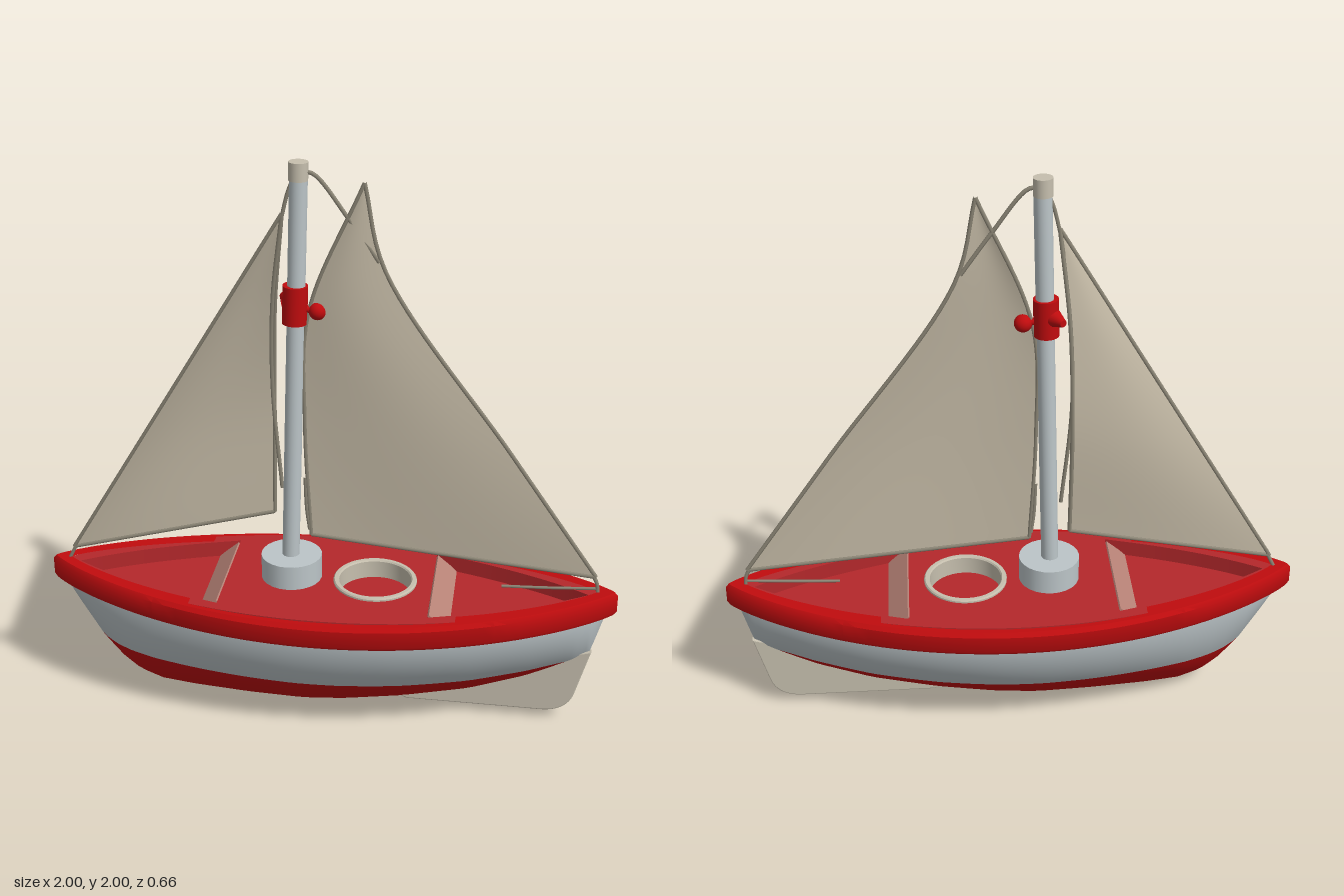
import * as THREE from 'three';
import { toCreasedNormals } from 'three/addons/utils/BufferGeometryUtils.js';
import { ParametricGeometry } from 'three/addons/geometries/ParametricGeometry.js';

const mat = (name, color, side = THREE.FrontSide) => {
  const m = new THREE.MeshStandardMaterial({ color, side });
  m.name = name;
  return m;
};
const V = (x, y, z = 0) => new THREE.Vector3(x, y, z);

// linear lookup in a short list of [x, y] points
function lookup(pts, x) {
  for (let i = 1; i < pts.length; i++) {
    if (x <= pts[i][0]) {
      const [x0, y0] = pts[i - 1], [x1, y1] = pts[i];
      return y0 + (y1 - y0) * (x - x0) / (x1 - x0);
    }
  }
  return pts[pts.length - 1][1];
}

// boat plan outline, inset by k
function outline(a, k) {
  const s = Math.sin(a);
  return [(1 - k) * Math.cos(a), (0.33 - k) * Math.sign(s) * Math.pow(Math.abs(s), 1.7)];
}
function outlineShape(k) {
  const pts = [];
  for (let i = 0; i < 96; i++) pts.push(new THREE.Vector2(...outline(i / 96 * Math.PI * 2, k)));
  return new THREE.Shape(pts);
}
const flat = (shape, y, depth) =>
  new THREE.ExtrudeGeometry(shape, { depth, bevelEnabled: false, curveSegments: 32 })
    .rotateX(-Math.PI / 2).translate(0, y, 0);

const KEEL = [[-0.965, 0.45], [-0.9, 0.33], [-0.83, 0.21], [-0.76, 0.125], [-0.7, 0.075], [-0.62, 0.042],
  [-0.5, 0.026], [-0.3, 0.01], [-0.1, 0.002], [0.05, 0.012], [0.27, 0.045], [0.5, 0.095], [0.7, 0.165],
  [0.87, 0.245], [0.92, 0.29], [0.965, 0.45]];
const WATERLINE = [[-1, 0.215], [-0.4, 0.205], [0, 0.2], [0.25, 0.2], [0.5, 0.21], [0.7, 0.225], [1, 0.265]];
const HULL_TOP = 0.455;

// one side of the hull (s = 1 or -1), below or above the waterline
function hullSide(s, below) {
  const geo = new ParametricGeometry((u, v, p) => {
    const a = Math.PI * (1 - u);
    const x = s * 0.963 * Math.cos(a);
    const yb = lookup(KEEL, x);
    const yw = Math.max(lookup(WATERLINE, x), yb);
    const y = below ? yb + (yw - yb) * v : yw + (HULL_TOP - yw) * v;
    const t = (y - yb) / (HULL_TOP - yb);
    const w = 0.002 + 0.308 * Math.pow(Math.max(0, 1 - (x / 0.965) ** 2), 0.85);
    p.set(x, y, s * w * (1 - (1 - t) ** 2));
  }, 72, 12);
  geo.computeVertexNormals();
  return geo;
}

export function createModel() {
  const model = new THREE.Group();
  model.name = 'sailboat';
  const red = mat('red paint', 0xc00c0e);
  const deckRed = mat('deck red', 0xb4282b);
  const grey = mat('pale grey paint', 0xbcc5c8);
  const cloth = mat('sail cloth', 0xc2b8a4, THREE.DoubleSide);
  const trim = mat('rope and hem', 0x8c8676);
  const cream = mat('cream', 0xc6bfae);
  const worn = mat('worn paint', 0xb98478);

  const add = (name, geo, material, parent = model) => {
    const m = new THREE.Mesh(geo, material);
    m.name = name;
    parent.add(m);
    return m;
  };
  const rod = (name, a, b, r, material, r2 = r) => {
    const d = b.clone().sub(a);
    const m = add(name, new THREE.CylinderGeometry(r2, r, d.length(), 24), material);
    m.position.copy(a).addScaledVector(d, 0.5);
    m.quaternion.setFromUnitVectors(V(0, 1, 0), d.normalize());
    return m;
  };
  const rope = (name, pts, r = 0.007) =>
    add(name, new THREE.TubeGeometry(new THREE.CatmullRomCurve3(pts), 24, r, 6), trim);

  // hull, painted in two bands
  for (const s of [1, -1]) {
    add('lowerHull', hullSide(s, true), red);
    add('upperHull', hullSide(s, false), grey);
  }

  // gunwale band with a slight sheer
  const profile = [[0.06, 0.42], [0.008, 0.42], [0, 0.432], [0, 0.492], [0.012, 0.507], [0.07, 0.507]];
  const gunwale = new ParametricGeometry((u, v, p) => {
    const [k, y] = profile[Math.round(v * 5)] || profile[5];
    const [x, z] = outline(-u * Math.PI * 2, k);
    p.set(x, y + 0.024 * x * x, z);
  }, 120, 5);
  add('gunwale', toCreasedNormals(gunwale, 0.6), red);

  // deck with two end wells and a round cockpit
  const deck = outlineShape(0.03);
  for (const s of [1, -1]) {
    const well = new THREE.Path();
    well.moveTo(s * 0.36, -0.225);
    well.quadraticCurveTo(s * 0.7, -0.13, s * 0.9, 0);
    well.quadraticCurveTo(s * 0.7, 0.13, s * 0.36, 0.225);
    well.closePath();
    deck.holes.push(well);
    const step = add('wellStep', new THREE.BoxGeometry(0.09, 0.008, 0.42), worn);
    step.position.set(s * 0.397, 0.481, 0);
    step.rotation.z = -s * 0.7;
  }
  const cockpit = new THREE.Path();
  cockpit.absarc(0.16, 0, 0.135, 0, Math.PI * 2, true);
  deck.holes.push(cockpit);
  add('deck', flat(deck, 0.452, 0.06), deckRed);
  add('wellFloor', flat(outlineShape(0.045), 0.435, 0.02), deckRed);

  // cockpit ring
  const ringProfile = [[0.126, 0.45], [0.146, 0.45], [0.146, 0.518], [0.142, 0.523], [0.13, 0.523], [0.126, 0.518], [0.126, 0.45]]
    .map(([x, y]) => new THREE.Vector2(x, y));
  const ring = add('cockpitRing', toCreasedNormals(new THREE.LatheGeometry(ringProfile, 48), 0.5), cream);
  ring.position.x = 0.16;

  // stern fin
  const fin = new THREE.Shape();
  fin.moveTo(0.24, 0.06);
  fin.lineTo(0.28, 0.04);
  fin.lineTo(0.77, 0.035);
  fin.quadraticCurveTo(0.855, 0.04, 0.875, 0.11);
  fin.lineTo(0.925, 0.29);
  fin.lineTo(0.84, 0.27);
  fin.lineTo(0.55, 0.15);
  fin.closePath();
  add('fin', new THREE.ExtrudeGeometry(fin, { depth: 0.014, bevelSize: 0.005, bevelThickness: 0.005, bevelOffset: -0.005, bevelSegments: 2 })
    .translate(0, 0, -0.007), cream);

  // mast, foot and fittings
  rod('mastFoot', V(-0.135, 0.5), V(-0.135, 0.6), 0.106, grey);
  rod('mast', V(-0.138, 0.58), V(-0.1, 1.945), 0.03, grey);
  rod('mastCap', V(-0.101, 1.94), V(-0.1, 2), 0.032, cream);
  rod('collar', V(-0.117, 1.46), V(-0.113, 1.59), 0.042, red);
  rod('collarSpur', V(-0.13, 1.53, -0.01), V(-0.165, 1.53, -0.065), 0.035, red, 0.012);
  rod('knobStem', V(-0.1, 1.515), V(-0.04, 1.505), 0.012, red);
  const knob = add('knob', new THREE.SphereGeometry(0.03, 20, 14), red);
  knob.position.set(-0.04, 1.505, 0);

  // sails stretched between two edge curves that meet at the peak
  const sail = (name, leftPts, rightPts, bulge) => {
    const group = new THREE.Group();
    group.name = name;
    model.add(group);
    const L = new THREE.CatmullRomCurve3(leftPts), R = new THREE.CatmullRomCurve3(rightPts);
    const geo = new ParametricGeometry((u, v, p) => {
      p.copy(L.getPoint(v)).lerp(R.getPoint(v), u);
      p.z += bulge * Math.sin(Math.PI * u) * Math.sin(Math.PI * v);
    }, 20, 32);
    geo.computeVertexNormals();
    add('cloth', geo, cloth, group);
    const foot = new THREE.LineCurve3(leftPts[0], rightPts[0]);
    for (const edge of [L, R, foot]) add('hem', new THREE.TubeGeometry(edge, 32, 0.007, 6), trim, group);
  };
  sail('foreSail',
    [V(-0.92, 0.57), V(-0.665, 0.99), V(-0.41, 1.41), V(-0.155, 1.83)],
    [V(-0.2, 0.735, -0.05), V(-0.2, 1.15, -0.075), V(-0.19, 1.5, -0.05), V(-0.155, 1.83)], -0.015);
  sail('mainSail',
    [V(-0.065, 0.68), V(-0.085, 1.1), V(-0.07, 1.5), V(0.11, 1.94)],
    [V(0.92, 0.585), V(0.61, 1.03), V(0.18, 1.65), V(0.11, 1.94)], 0.02);

  // rigging
  rope('foreLuffRope', [V(-0.155, 1.83), V(-0.195, 1.52, -0.03), V(-0.2, 1.2, -0.04), V(-0.17, 0.84, -0.03)]);
  rope('foreHalyard', [V(-0.115, 1.95), V(-0.135, 1.9), V(-0.155, 1.82)]);
  rope('mainHalyard', [V(-0.09, 1.97), V(-0.05, 1.96), V(0.06, 1.82), V(0.16, 1.68)]);
  rope('bowLine', [V(-0.91, 0.58), V(-0.925, 0.55), V(-0.94, 0.52)]);
  rope('sternLine', [V(0.91, 0.59), V(0.925, 0.56), V(0.93, 0.52)]);
  rope('mainTackLine', [V(-0.07, 0.7), V(-0.08, 0.78), V(-0.085, 0.9)]);
  rope('boomLine', [V(0.6, 0.525), V(0.75, 0.53), V(0.93, 0.54)], 0.005);
  return model;
}
